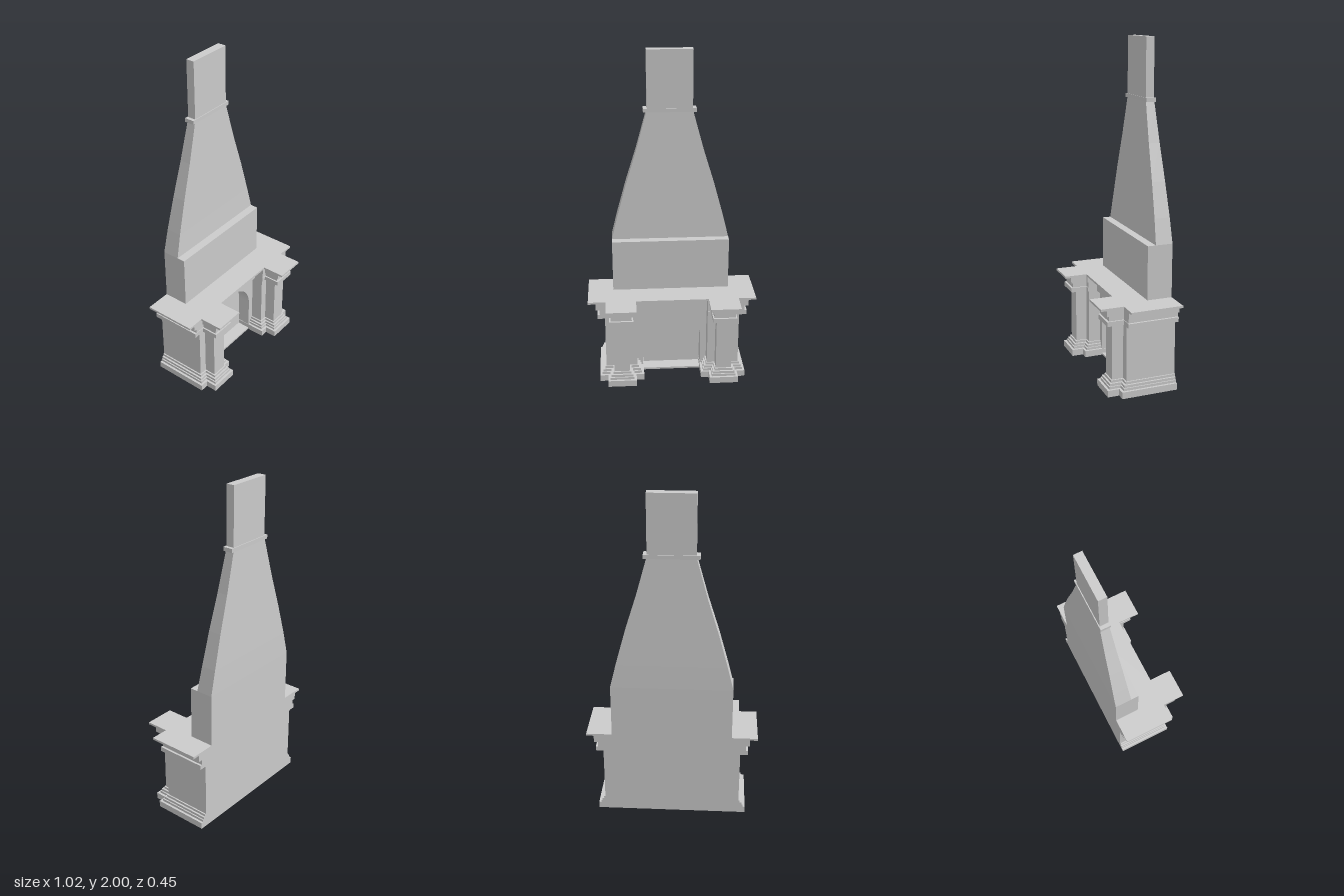
import * as THREE from 'three';

const material = new THREE.MeshStandardMaterial({ color: 0xcccccc, flatShading: true });
const BACK = -0.227;

function add(parent, name, geometry) {
  const mesh = new THREE.Mesh(geometry, material);
  mesh.name = name;
  parent.add(mesh);
  return mesh;
}

// Box given by its limits on each axis
function block(parent, name, x0, x1, y0, y1, z0, z1) {
  const mesh = add(parent, name, new THREE.BoxGeometry(x1 - x0, y1 - y0, z1 - z0));
  mesh.position.set((x0 + x1) / 2, (y0 + y1) / 2, (z0 + z1) / 2);
  return mesh;
}

// Flat plan outline (x, z) raised from y0 to y1
function slab(parent, name, points, y0, y1) {
  const shape = new THREE.Shape(points.map(([x, z]) => new THREE.Vector2(x, -z)));
  const geometry = new THREE.ExtrudeGeometry(shape, { depth: y1 - y0, bevelEnabled: false });
  geometry.rotateX(-Math.PI / 2);
  geometry.translate(0, y0, 0);
  return add(parent, name, geometry);
}

// Stepped plan of a pier with its projecting column; s mirrors it
function pierPlan(s, inner, outer, front, colIn, colOut, colFront) {
  return [[inner, BACK], [outer, BACK], [outer, front], [colOut, front], [colOut, colFront],
    [colIn, colFront], [colIn, front], [inner, front]].map(([x, z]) => [s * x, z]);
}

// Rectangular cross-sections [y, halfWidth, back, front] joined into a solid
function loft(sections) {
  const pos = [], index = [];
  for (const [y, w, b, f] of sections) pos.push(-w, y, f, w, y, f, w, y, b, -w, y, b);
  for (let i = 0; i < sections.length - 1; i++) {
    for (let k = 0; k < 4; k++) {
      const a = i * 4 + k, c = i * 4 + (k + 1) % 4;
      index.push(a, c, c + 4, a, c + 4, a + 4);
    }
  }
  const t = (sections.length - 1) * 4;
  index.push(0, 2, 1, 0, 3, 2, t, t + 1, t + 2, t, t + 2, t + 3);
  const geometry = new THREE.BufferGeometry();
  geometry.setAttribute('position', new THREE.Float32BufferAttribute(pos, 3));
  geometry.setIndex(index);
  const flat = geometry.toNonIndexed();
  flat.computeVertexNormals();
  return flat;
}

function createModel() {
  const model = new THREE.Group();
  model.name = 'fireplace';

  // Piers with columns, plinth steps and capital steps
  const plinth = [[0, 0.04, 0.04], [0.04, 0.055, 0.026], [0.055, 0.07, 0.019], [0.07, 0.085, 0.008]];
  // y0, y1, side overhang, column overhang in x, column overhang in z, front of main run
  const capital = [[0.42, 0.448, 0.045, 0.025, 0.037, 0.08], [0.448, 0.48, 0.032, 0.016, 0.025, 0.077],
    [0.48, 0.522, 0.055, 0.028, 0.04, 0.082]];
  for (const s of [1, -1]) {
    const pier = new THREE.Group();
    pier.name = s > 0 ? 'leftPier' : 'rightPier';
    model.add(pier);
    slab(pier, 'pierShaft', pierPlan(s, 0.217, 0.41, 0.074, 0.265, 0.36, 0.143), 0.085, 0.42);
    for (const [y0, y1, o] of plinth) {
      slab(pier, 'plinthStep', pierPlan(s, 0.217 - o, 0.41 + o, 0.074 + o, 0.265 - o, 0.36 + o, 0.143 + o), y0, y1);
    }
    for (const [y0, y1, o, cx, cz, front] of capital) {
      slab(pier, 'capitalStep', pierPlan(s, 0.217, 0.41 + o, front, 0.265 - cx, 0.36 + cx, 0.143 + cz), y0, y1);
    }
  }

  // Wall with arched firebox opening
  const wall = new THREE.Shape();
  wall.moveTo(-0.22, 0).lineTo(0.22, 0).lineTo(0.22, 0.42).lineTo(-0.22, 0.42).closePath();
  const arch = new THREE.Path();
  arch.moveTo(-0.18, 0.012).lineTo(-0.18, 0.225);
  arch.absarc(0, 0.225, 0.18, Math.PI, 0, true);
  arch.lineTo(0.18, 0.012).closePath();
  wall.holes.push(arch);
  const wallGeometry = new THREE.ExtrudeGeometry(wall, { depth: 0.08, bevelEnabled: false, curveSegments: 24 });
  wallGeometry.translate(0, 0, -0.08);
  add(model, 'archedWall', wallGeometry);
  block(model, 'fireboxBack', -0.22, 0.22, 0, 0.42, BACK, -0.08);
  block(model, 'frieze', -0.217, 0.217, 0.42, 0.522, BACK, 0.02);

  // Mantel shelf stepping forward over the columns
  slab(model, 'mantelShelf', [[-0.51, BACK], [0.51, BACK], [0.51, 0.087], [0.403, 0.087], [0.403, 0.225],
    [0.22, 0.225], [0.22, 0.087], [-0.22, 0.087], [-0.22, 0.225], [-0.403, 0.225], [-0.403, 0.087],
    [-0.51, 0.087]], 0.522, 0.535);

  // Chimney breast, tapering hood, collar and flue
  block(model, 'chimneyBreast', -0.356, 0.356, 0.535, 0.855, BACK, -0.075);
  add(model, 'hood', loft([[0.855, 0.356, BACK, -0.124], [1.0, 0.32, -0.224, -0.13], [1.2, 0.265, -0.217, -0.136],
    [1.41, 0.2, -0.21, -0.143], [1.64, 0.137, -0.202, -0.15]]));
  block(model, 'collar', -0.156, 0.156, 1.637, 1.66, -0.205, -0.146);
  block(model, 'flue', -0.135, 0.135, 1.66, 2, -0.2, -0.15);
  return model;
}

export { createModel };
